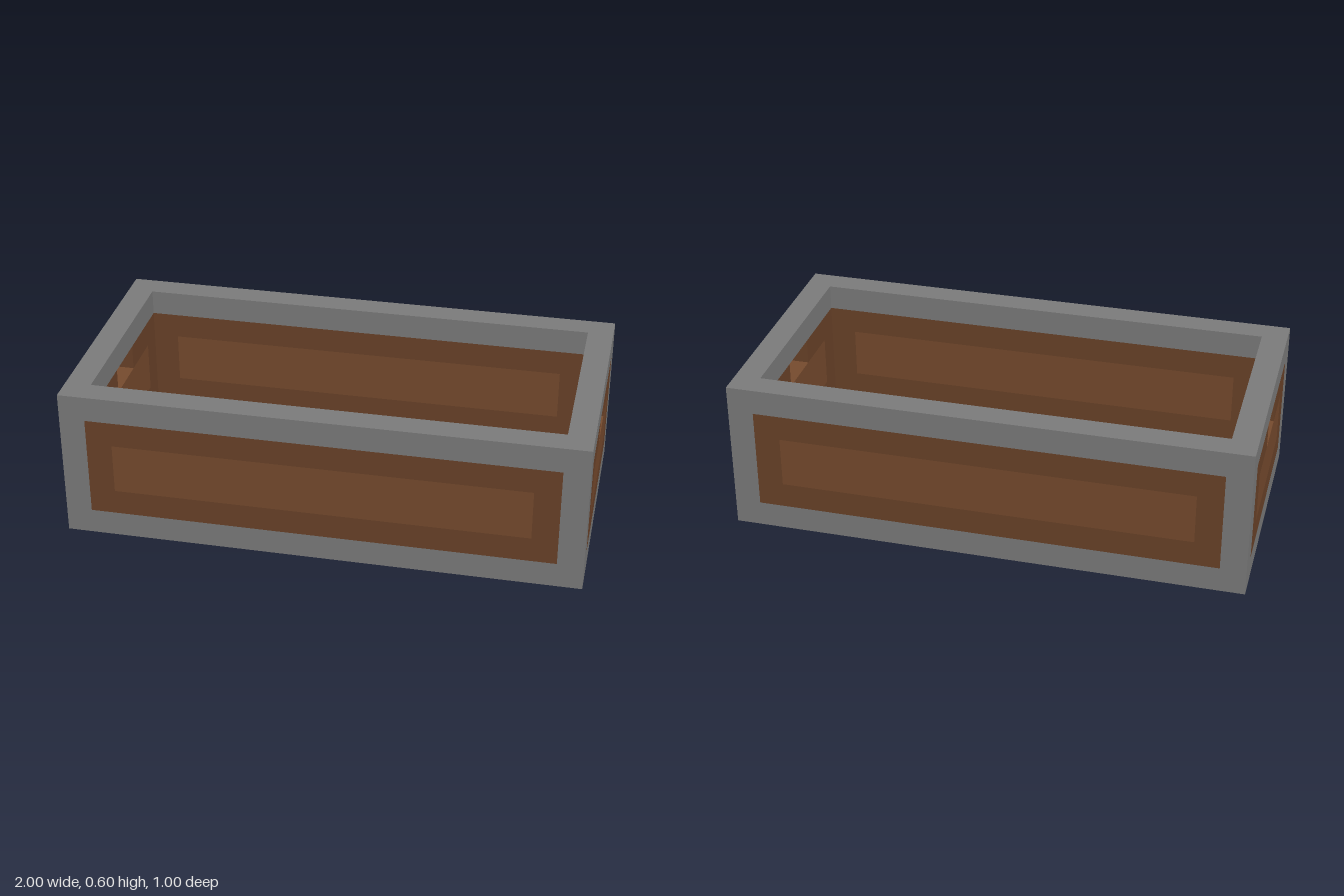
import * as THREE from 'three';

const material = (color) => new THREE.MeshStandardMaterial({ color, flatShading: true });

export function createModel() {
  const model = new THREE.Group();
  const stone = material(0x7c7c7c);
  const darkWood = material(0x6b4329);
  const lightWood = material(0x774b2e);
  const T = 0.1; // wall, rail and floor thickness

  const box = (parent, name, mat, size, pos) => {
    const mesh = new THREE.Mesh(new THREE.BoxGeometry(...size), mat);
    mesh.name = name;
    mesh.position.set(...pos);
    parent.add(mesh);
  };

  // Frame: rails around the base and rim, joined by corner posts
  const frame = new THREE.Group();
  frame.name = 'frame';
  for (const s of [-1, 1]) {
    for (const [label, y] of [['base', 0.05], ['rim', 0.55]]) {
      box(frame, `${label}LongRail`, stone, [2, T, T], [0, y, s * 0.45]);
      box(frame, `${label}EndRail`, stone, [T, T, 0.8], [s * 0.95, y, 0]);
    }
    for (const x of [-0.95, 0.95]) box(frame, 'cornerPost', stone, [T, 0.4, T], [x, 0.3, s * 0.45]);
  }
  model.add(frame);

  box(model, 'floor', darkWood, [1.8, T, 0.8], [0, 0.05, 0]);

  // Wall panel in its own x/y plane: dark border round a light centre,
  // with an optional handle opening in the upper border
  const makePanel = (name, width, opening) => {
    const panel = new THREE.Group();
    panel.name = name;
    box(panel, 'panelCentre', lightWood, [width - 0.2, 0.2, T], [0, 0.3, 0]);
    box(panel, 'panelLowerBorder', darkWood, [width, T, T], [0, 0.15, 0]);
    for (const s of [-1, 1]) {
      box(panel, 'panelSideBorder', darkWood, [T, 0.2, T], [s * (width - T) / 2, 0.3, 0]);
      if (opening) {
        const w = (width - opening) / 2;
        box(panel, 'panelUpperBorder', darkWood, [w, T, T], [s * (opening + w) / 2, 0.45, 0]);
      }
    }
    if (!opening) box(panel, 'panelUpperBorder', darkWood, [width, T, T], [0, 0.45, 0]);
    model.add(panel);
    return panel;
  };

  // Two plain long walls and two end walls with handle openings
  for (const s of [-1, 1]) {
    makePanel(s > 0 ? 'frontPanel' : 'backPanel', 1.8, 0).position.z = s * 0.45;
    const end = makePanel(s > 0 ? 'leftEndPanel' : 'rightEndPanel', 0.8, 0.2);
    end.position.x = s * 0.95;
    end.rotation.y = s * Math.PI / 2;
  }
  return model;
}
